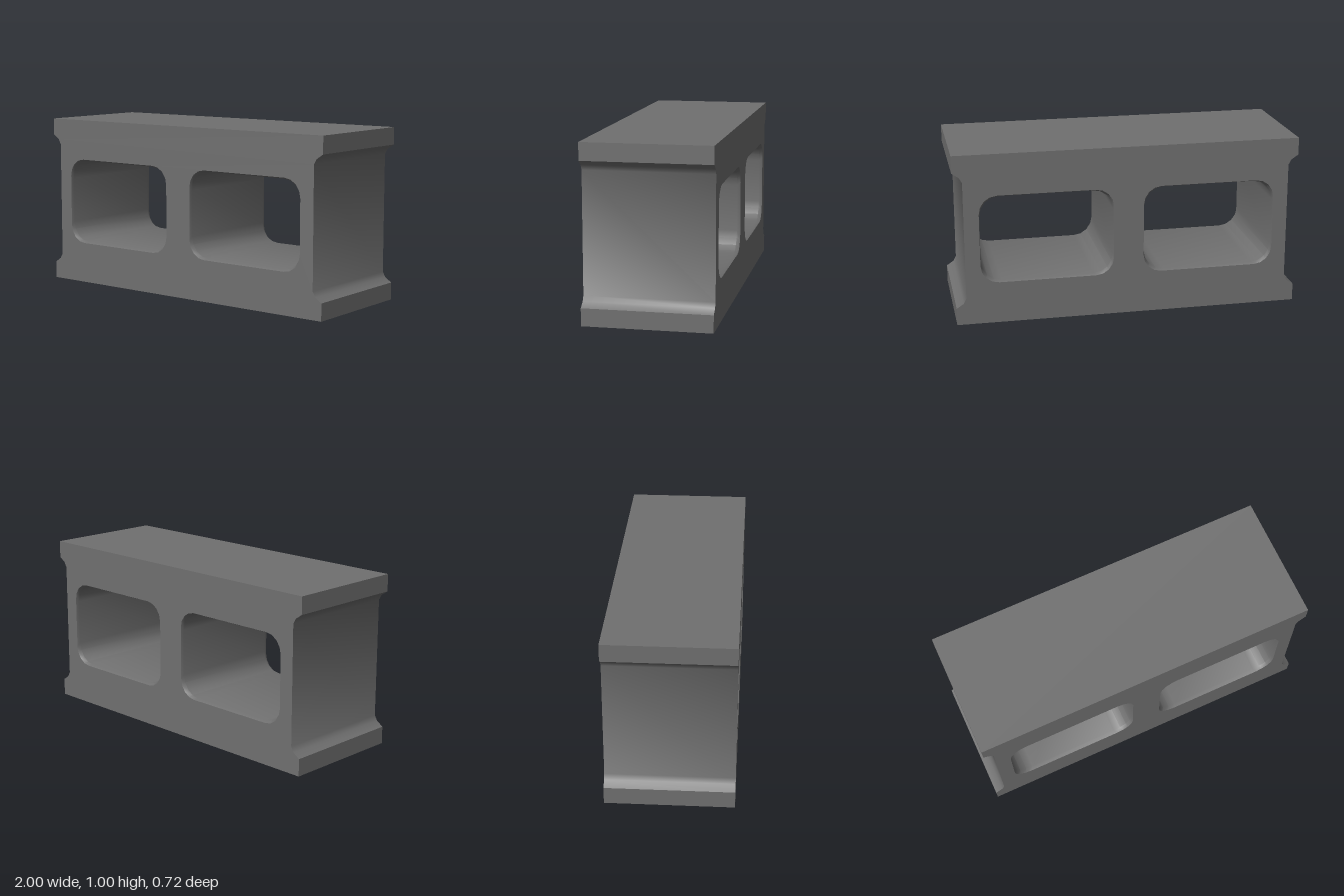
import * as THREE from 'three';
import { toCreasedNormals } from 'three/addons/utils/BufferGeometryUtils.js';

const DEPTH = 0.362;  // half depth of the block
const FLARE = 0.02;   // depth of the flared rim around each hole

// Counter-clockwise rounded rectangle as a loop of points
function roundedLoop(cx, cy, w, h, r, segments = 4) {
  const points = [];
  [[1, 1], [-1, 1], [-1, -1], [1, -1]].forEach(([sx, sy], corner) => {
    for (let i = 0; i <= segments; i++) {
      const a = (corner + i / segments) * Math.PI / 2;
      points.push(new THREE.Vector2(
        cx + sx * (w / 2 - r) + r * Math.cos(a),
        cy + sy * (h / 2 - r) + r * Math.sin(a)));
    }
  });
  return points;
}

// Walls joining loops of equal length; counter-clockwise loops face outward
function loft(sections) {
  const position = [];
  for (let s = 0; s < sections.length - 1; s++) {
    const [back, front] = [sections[s], sections[s + 1]];
    const n = back.loop.length;
    for (let i = 0; i < n; i++) {
      const j = (i + 1) % n;
      const a = [back.loop[i].x, back.loop[i].y, back.z];
      const b = [back.loop[j].x, back.loop[j].y, back.z];
      const c = [front.loop[j].x, front.loop[j].y, front.z];
      const d = [front.loop[i].x, front.loop[i].y, front.z];
      position.push(...a, ...b, ...c, ...a, ...c, ...d);
    }
  }
  const geometry = new THREE.BufferGeometry();
  geometry.setAttribute('position', new THREE.Float32BufferAttribute(position, 3));
  return toCreasedNormals(geometry, 0.6);
}

export function createModel() {
  const concrete = new THREE.MeshStandardMaterial({ color: 0x707070 });
  concrete.name = 'concrete grey';
  const group = new THREE.Group();
  group.name = 'concreteBlock';

  const add = (name, geometry) => {
    const mesh = new THREE.Mesh(geometry, concrete);
    mesh.name = name;
    group.add(mesh);
    return mesh;
  };

  // Outline with a shallow recess in each end
  const side = [[1, 0], [1, 0.1], [0.96, 0.127], [0.943, 0.157],
    [0.943, 0.843], [0.96, 0.873], [1, 0.9], [1, 1]];
  const outline = [
    ...side.map(([x, y]) => new THREE.Vector2(x, y)),
    ...side.slice().reverse().map(([x, y]) => new THREE.Vector2(-x, y)),
  ];
  add('outerWalls', loft([{ loop: outline, z: -DEPTH }, { loop: outline, z: DEPTH }]));

  // Two hollow cores, slightly flared at both openings
  const faceShape = new THREE.Shape(outline);
  for (const s of [-1, 1]) {
    const rim = roundedLoop(s * 0.472, 0.501, 0.77, 0.516, 0.105).reverse();
    const core = roundedLoop(s * 0.472, 0.501, 0.762, 0.5, 0.115).reverse();
    faceShape.holes.push(new THREE.Path(rim));
    add(s > 0 ? 'leftCore' : 'rightCore', loft([
      { loop: rim, z: -DEPTH },
      { loop: core, z: -DEPTH + FLARE },
      { loop: core, z: DEPTH - FLARE },
      { loop: rim, z: DEPTH },
    ]));
  }

  // Flat front and back faces pierced by the cores
  const face = new THREE.ShapeGeometry(faceShape);
  add('frontFace', face).position.z = DEPTH;
  const back = add('backFace', face);
  back.position.z = -DEPTH;
  back.rotation.y = Math.PI;

  return group;
}
